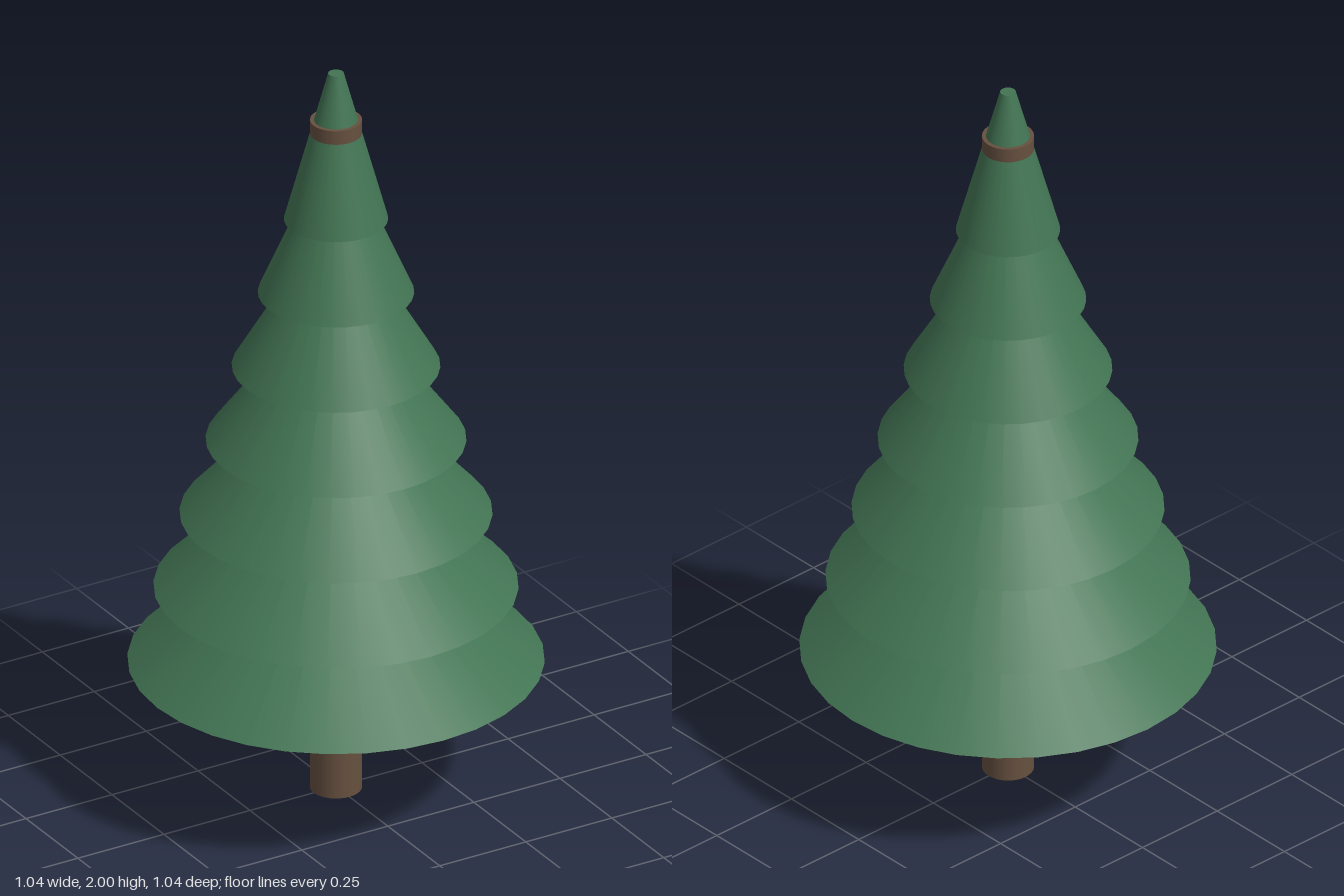
import * as THREE from 'three';

export function createModel() {
  const tree = new THREE.Group();
  tree.name = 'pineTree';

  const bark = new THREE.MeshStandardMaterial({ color: 0x66503f });
  const needles = new THREE.MeshStandardMaterial({ color: 0x427453 });
  const SIDES = 32;

  // Upright cylinder or cone frustum standing on height y
  const addFrustum = (name, topRadius, bottomRadius, y, height, material) => {
    const geometry = new THREE.CylinderGeometry(topRadius, bottomRadius, height, SIDES);
    const mesh = new THREE.Mesh(geometry, material);
    mesh.name = name;
    mesh.position.y = y + height / 2;
    tree.add(mesh);
  };

  // Trunk runs up through the tiers and shows as a ring below the tip
  addFrustum('trunk', 0.065, 0.065, 0, 1.87, bark);

  // Seven overlapping foliage tiers, narrowing evenly towards the top
  const tiers = 7, tierHeight = 0.407, lowest = 0.36;
  const step = (2 - tierHeight - lowest) / (tiers - 1);
  for (let i = 0; i < tiers; i++) {
    addFrustum(`foliageTier${i + 1}`, 0.0195, 0.52 - 0.065 * i, lowest + step * i, tierHeight, needles);
  }

  return tree;
}
